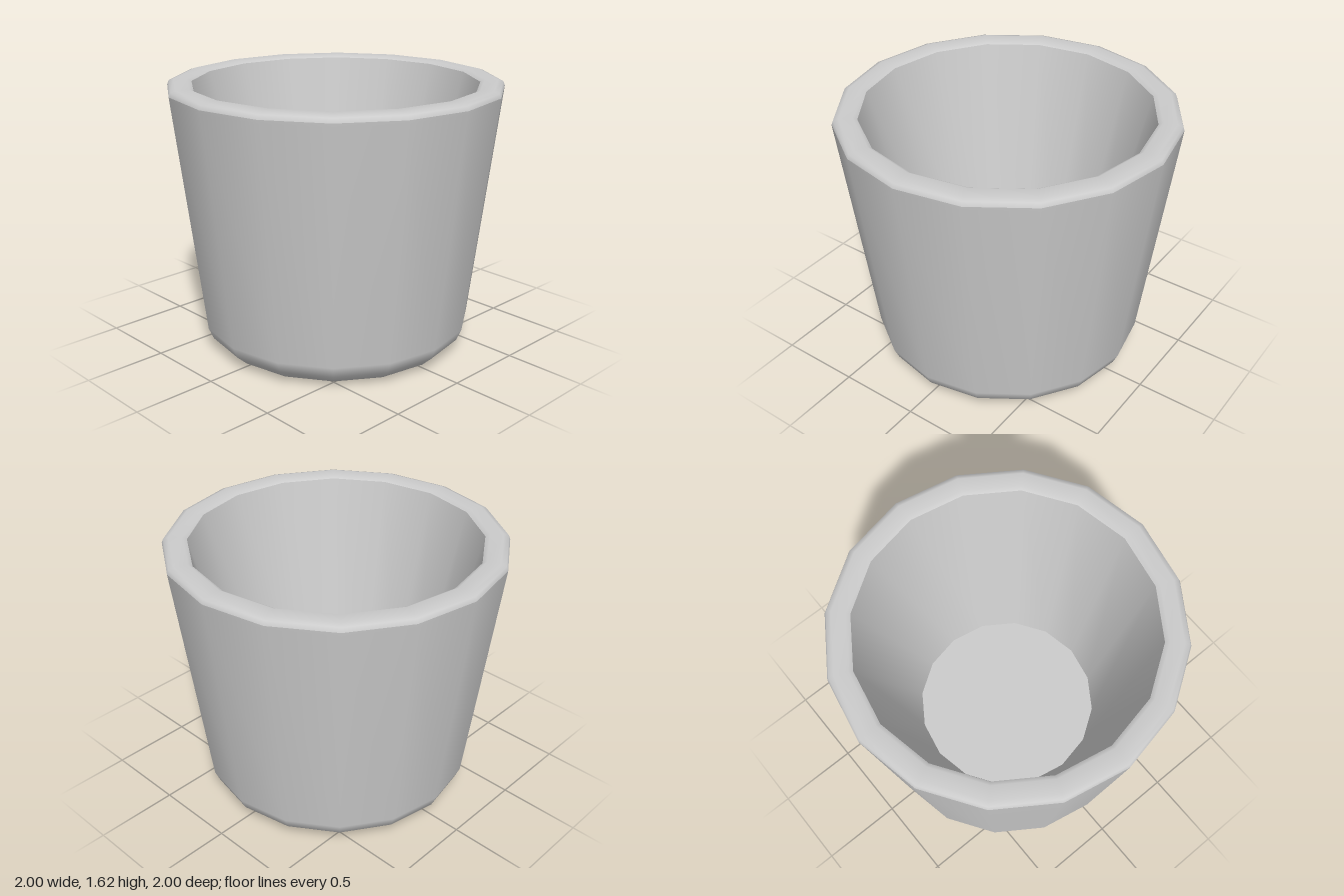
import * as THREE from 'three';

const SIDES = 16;

// One smooth band of the pot; separate bands keep the edges between them sharp.
function band(name, profile, material) {
  const points = profile.map(([r, y]) => new THREE.Vector2(r, y));
  const mesh = new THREE.Mesh(new THREE.LatheGeometry(points, SIDES), material);
  mesh.name = name;
  return mesh;
}

function disc(name, radius, y, up, material) {
  const geometry = new THREE.CircleGeometry(radius, SIDES);
  geometry.rotateX(up ? -Math.PI / 2 : Math.PI / 2);
  geometry.translate(0, y, 0);
  const mesh = new THREE.Mesh(geometry, material);
  mesh.name = name;
  return mesh;
}

export function createModel() {
  const pot = new THREE.Group();
  pot.name = 'pot';
  const material = new THREE.MeshStandardMaterial({ color: 0xcccccc, roughness: 0.8 });

  // Profiles run from the underside, up the outside, over the rim and down the inside.
  pot.add(
    disc('recessCeiling', 0.56, 0.36, false, material),
    band('baseRecess', [[0.56, 0.36], [0.66, 0]], material),
    band('outerWall', [
      [0.66, 0], [0.735, 0.02], [0.8, 0.08], [0.83, 0.15], [0.998, 1.57], [1, 1.59],
    ], material),
    band('rim', [[1, 1.59], [0.99, 1.615], [0.96, 1.625], [0.88, 1.625], [0.855, 1.61]], material),
    band('innerWall', [[0.855, 1.61], [0.56, 0.38]], material),
    disc('floor', 0.56, 0.38, true, material),
  );
  return pot;
}
